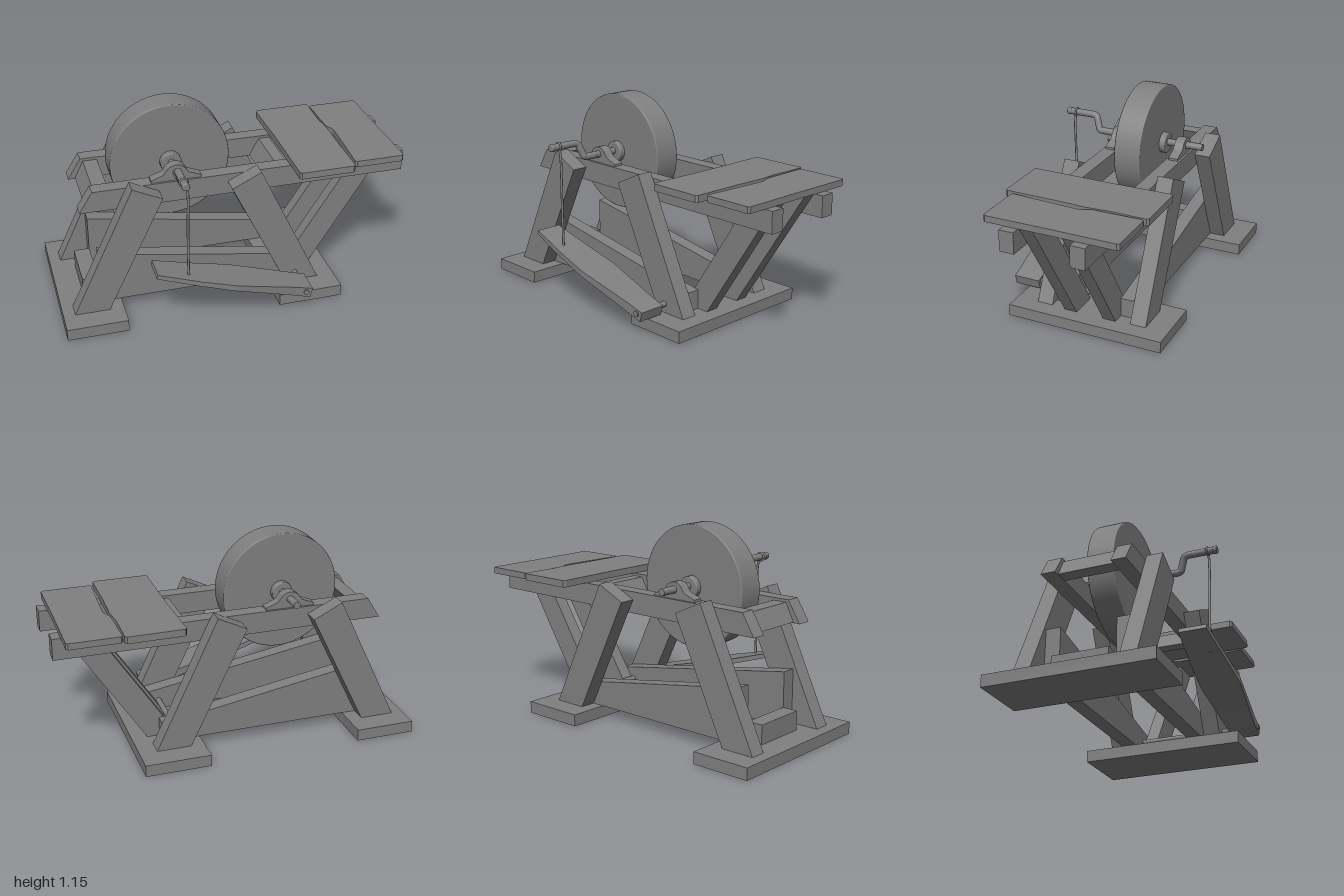
import * as THREE from 'three';

const ZC = -0.056; // middle plane of the frame

export function createModel() {
  const model = new THREE.Group();
  const mat = new THREE.MeshStandardMaterial({ color: 0x808080 });
  const flat = new THREE.MeshStandardMaterial({ color: 0x808080, flatShading: true });

  function add(name, geometry, material = flat) {
    const mesh = new THREE.Mesh(geometry, material);
    mesh.name = name;
    model.add(mesh);
    return mesh;
  }
  // Side profile in x/y, extruded from z0 to z1
  function slab(name, points, z0, z1) {
    const shape = new THREE.Shape(points.map(([x, y]) => new THREE.Vector2(x, y)));
    const g = new THREE.ExtrudeGeometry(shape, { depth: z1 - z0, bevelEnabled: false });
    return add(name, g.translate(0, 0, z0));
  }
  // Same slab on both sides of the frame's middle plane
  function pair(name, points, z0, z1) {
    slab(name + 'Front', points, z0, z1);
    slab(name + 'Back', points, 2 * ZC - z1, 2 * ZC - z0);
  }
  function box(name, x0, x1, y0, y1, z0, z1) {
    const g = new THREE.BoxGeometry(x1 - x0, y1 - y0, z1 - z0);
    return add(name, g.translate((x0 + x1) / 2, (y0 + y1) / 2, (z0 + z1) / 2));
  }
  // Round bar along z
  function bar(name, x, y, r, z0, z1, segments = 24) {
    const g = new THREE.CylinderGeometry(r, r, z1 - z0, segments).rotateX(Math.PI / 2);
    return add(name, g.translate(x, y, (z0 + z1) / 2), mat);
  }
  // Turned solid along z with softly rounded rims
  function turned(name, x, y, r, z0, z1, round, segments) {
    const h = (z1 - z0) / 2;
    const pts = [[0, -h], [r - round, -h], [r - round, -h]];
    for (const s of [-1, 1]) {
      for (let i = 0; i <= 4; i++) {
        const a = (s < 0 ? i : 4 - i) * Math.PI / 8;
        pts.push([r - round + round * Math.sin(a), s * (h - round + round * Math.cos(a))]);
      }
    }
    pts.push([r - round, h], [0, h]);
    const g = new THREE.LatheGeometry(pts.map(p => new THREE.Vector2(...p)), segments);
    return add(name, g.rotateX(Math.PI / 2).translate(x, y, (z0 + z1) / 2), mat);
  }

  // Base boards
  box('baseLeft', 0.21, 0.58, 0, 0.067, -0.517, 0.404);
  box('baseRight', -1, -0.66, 0, 0.067, -0.517, 0.404);

  // Leaning legs, rails, sloping side boards and table struts
  const leg = [[-0.935, 0.067], [-0.74, 0.067], [-0.42, 0.725], [-0.585, 0.805]];
  pair('legRight', leg, 0.183, 0.275);
  pair('legLeft', leg.map(([x, y]) => [-0.455 - x, y]).reverse(), 0.183, 0.275);
  pair('rail', [[-0.86, 0.65], [1, 0.65], [1, 0.77], [-0.785, 0.77]], 0.1, 0.183);
  pair('sideBoard', [[-0.77, 0.067], [0.42, 0.067], [0.42, 0.176], [-0.77, 0.374]], 0.1, 0.183);
  pair('tableStrut', [[0.32, 0.067], [0.49, 0.067], [0.942, 0.769], [0.778, 0.769]], 0.025, 0.1);

  // Cross beams
  const zIn = 0.1, zBack = 2 * ZC - zIn;
  slab('crossBeamRight', [[-0.82, 0.655], [-0.74, 0.655], [-0.69, 0.755], [-0.77, 0.755]], zBack, zIn);
  slab('crossBeamLeft', [[0.21, 0.655], [0.28, 0.655], [0.33, 0.755], [0.265, 0.755]], zBack, zIn);
  box('baseCrossBeam', -0.86, -0.77, 0.067, 0.175, zBack, zIn);

  // Table planks, outlined in x/z
  function plank(name, outline, thickness) {
    const shape = new THREE.Shape(outline.map(([x, z]) => new THREE.Vector2(x, -z)));
    const g = new THREE.ExtrudeGeometry(shape, { depth: thickness, bevelEnabled: false });
    return add(name, g.rotateX(-Math.PI / 2).translate(0, 0.77, 0));
  }
  plank('tablePlankInner', [[0.325, 0.34], [0.335, 0.352], [0.635, 0.352], [0.647, 0.34], [0.65, 0.05],
    [0.658, -0.13], [0.648, -0.25], [0.654, -0.46], [0.642, -0.472], [0.334, -0.47], [0.324, -0.455], [0.33, -0.1]], 0.039);
  plank('tablePlankOuter', [[0.664, 0.292], [0.674, 0.302], [0.943, 0.302], [0.953, 0.29], [0.951, -0.1],
    [0.954, -0.44], [0.944, -0.452], [0.67, -0.452], [0.66, -0.44], [0.662, -0.17], [0.688, -0.11], [0.68, 0.05]], 0.036);

  // Grinding wheel, hub and axle
  const wx = -0.32, wy = 0.814;
  turned('wheel', wx, wy, 0.336, -0.133, 0.023, 0.006, 64);
  turned('hub', wx, wy, 0.06, -0.167, 0.057, 0.006, 32);
  bar('axle', wx, 0.82, 0.02, -0.38, 0.2);

  // Bearing blocks on the rails
  const bearing = [[-0.14, 0.769], [0.14, 0.769], [0.14, 0.783], [0.07, 0.81]];
  for (let i = 1; i < 8; i++) {
    const a = i * Math.PI / 8;
    bearing.push([0.065 * Math.cos(a), 0.8 + 0.062 * Math.sin(a)]);
  }
  bearing.push([-0.07, 0.81], [-0.14, 0.783]);
  pair('bearing', bearing.map(([x, y]) => [x + wx, y]), 0.115, 0.17);

  // Crank with its bend and grip
  const v = (x, y, z) => new THREE.Vector3(x, y, z);
  const crankPath = new THREE.CurvePath();
  const a = v(wx, 0.82, 0.19), b = v(wx, 0.82, 0.25), c = v(-0.322, 0.828, 0.278);
  const d = v(-0.337, 0.88, 0.297), e = v(-0.345, 0.903, 0.335), f = v(-0.345, 0.903, 0.48);
  crankPath.add(new THREE.LineCurve3(a, b));
  crankPath.add(new THREE.QuadraticBezierCurve3(b, v(wx, 0.82, 0.272), c));
  crankPath.add(new THREE.LineCurve3(c, d));
  crankPath.add(new THREE.QuadraticBezierCurve3(d, v(-0.345, 0.903, 0.303), e));
  crankPath.add(new THREE.LineCurve3(e, f));
  add('crank', new THREE.TubeGeometry(crankPath, 60, 0.02, 16), mat);
  turned('crankEnd', -0.345, 0.903, 0.022, 0.472, 0.497, 0.005, 20);

  // Connecting rod hanging from a loop around the crank
  const loop = add('rodLoop', new THREE.TorusGeometry(0.022, 0.006, 8, 24), mat);
  loop.position.set(-0.345, 0.903, 0.44);
  const rodPath = new THREE.CatmullRomCurve3([
    v(-0.333, 0.885, 0.442), v(-0.325, 0.84, 0.442), v(-0.327, 0.6, 0.439), v(-0.327, 0.305, 0.436)]);
  add('connectingRod', new THREE.TubeGeometry(rodPath, 30, 0.007, 10), mat);
  bar('rodHook', -0.327, 0.31, 0.012, 0.425, 0.447, 12);

  // Treadle: rectangular cross-sections (x, top y, thickness, half width)
  const sections = [[-0.505, 0.385, 0.025, 0.076], [-0.27, 0.312, 0.028, 0.097], [-0.07, 0.258, 0.034, 0.111],
    [0.12, 0.206, 0.044, 0.095], [0.28, 0.162, 0.054, 0.081], [0.378, 0.134, 0.058, 0.077]];
  const pos = [], idx = [];
  sections.forEach(([x, y, t, w], i) => {
    const zc = 0.404, lx = x - t * 0.27, ly = y - t * 0.96;
    pos.push(x, y, zc + w, x, y, zc - w, lx, ly, zc - w, lx, ly, zc + w);
    if (!i) return;
    for (let k = 0; k < 4; k++) {
      const p = (i - 1) * 4 + k, q = (i - 1) * 4 + (k + 1) % 4;
      idx.push(p, p + 4, q, q, p + 4, q + 4);
    }
  });
  const n = (sections.length - 1) * 4;
  idx.push(0, 1, 2, 0, 2, 3, n, n + 2, n + 1, n, n + 3, n + 2);
  const treadle = new THREE.BufferGeometry();
  treadle.setAttribute('position', new THREE.Float32BufferAttribute(pos, 3));
  treadle.setIndex(idx);
  treadle.computeVertexNormals();
  add('treadle', treadle);
  bar('treadlePivot', 0.338, 0.119, 0.016, -0.212, 0.49, 16);

  return model;
}
